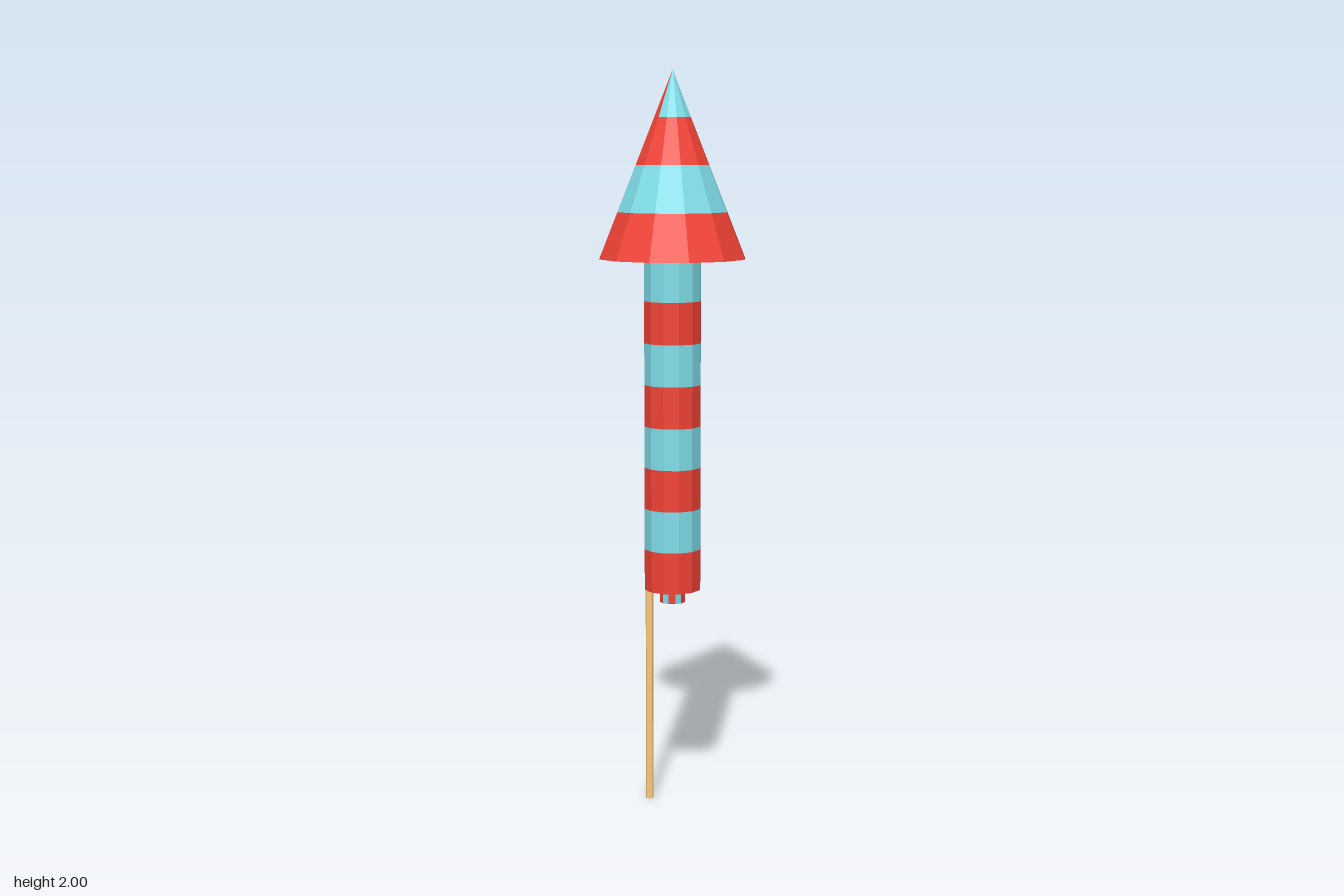
import * as THREE from 'three';

const SIDES = 12;
const STEP = (Math.PI * 2) / SIDES;
const paint = (color) => new THREE.MeshStandardMaterial({ color, flatShading: true });

export function createModel() {
  const model = new THREE.Group();
  const red = paint(0xf44336);
  const blue = paint(0x80deea);
  const wood = paint(0xffcc80);

  // Adds one faceted section between two heights; from/count select its sides.
  function section(parent, name, material, y0, y1, r0, r1, open = true, from = 0, count = SIDES) {
    const geometry = new THREE.CylinderGeometry(r1, r0, y1 - y0, count, 1, open, from * STEP, count * STEP);
    const mesh = new THREE.Mesh(geometry, material);
    mesh.name = name;
    mesh.position.y = (y0 + y1) / 2;
    parent.add(mesh);
    return mesh;
  }

  // Flat disc facing down that closes a section
  function underside(parent, name, y, radius) {
    const geometry = new THREE.CircleGeometry(radius, SIDES).rotateX(Math.PI / 2);
    const mesh = new THREE.Mesh(geometry, red);
    mesh.name = name;
    mesh.position.y = y;
    parent.add(mesh);
  }

  function part(name) {
    const group = new THREE.Group();
    group.name = name;
    model.add(group);
    return group;
  }

  // Striped body tube
  const body = part('body');
  const bodyBottom = 0.6, bodyTop = 1.503, bodyBands = 8, bodyRadius = 0.078;
  const bandHeight = (bodyTop - bodyBottom) / bodyBands;
  for (let i = 0; i < bodyBands; i++) {
    const y = bodyBottom + i * bandHeight;
    section(body, 'bodyStripe', i % 2 ? blue : red, y, y + bandHeight, bodyRadius, bodyRadius);
  }
  underside(body, 'bodyBase', bodyBottom, bodyRadius);

  // Striped nose cone, with one red facet at the tip
  const nose = part('noseCone');
  const noseBands = 4, noseRadius = 0.2;
  const noseStep = (2 - bodyTop) / noseBands;
  const radiusAt = (i) => noseRadius * (1 - i / noseBands);
  for (let i = 0; i < noseBands - 1; i++) {
    const y = bodyTop + i * noseStep;
    section(nose, 'noseStripe', i % 2 ? blue : red, y, y + noseStep, radiusAt(i), radiusAt(i + 1));
  }
  const tipY = 2 - noseStep, tipRadius = radiusAt(noseBands - 1);
  section(nose, 'noseTip', blue, tipY, 2, tipRadius, 0, true, 9, SIDES - 1);
  section(nose, 'noseTipFacet', red, tipY, 2, tipRadius, 0, true, 8, 1);
  underside(nose, 'noseBase', bodyTop, noseRadius);

  // Nozzle of alternating wedges
  const nozzle = part('nozzle');
  for (let i = 0; i < SIDES; i++) {
    section(nozzle, 'nozzleWedge', i % 2 ? blue : red, 0.563, 0.61, 0.035, 0.035, false, i, 1);
  }

  // Off-centre guide stick
  const stick = new THREE.Mesh(new THREE.CylinderGeometry(0.0105, 0.0105, 0.61, 8), wood);
  stick.name = 'stick';
  stick.position.set(-0.045, 0.305, -0.045);
  model.add(stick);

  return model;
}
